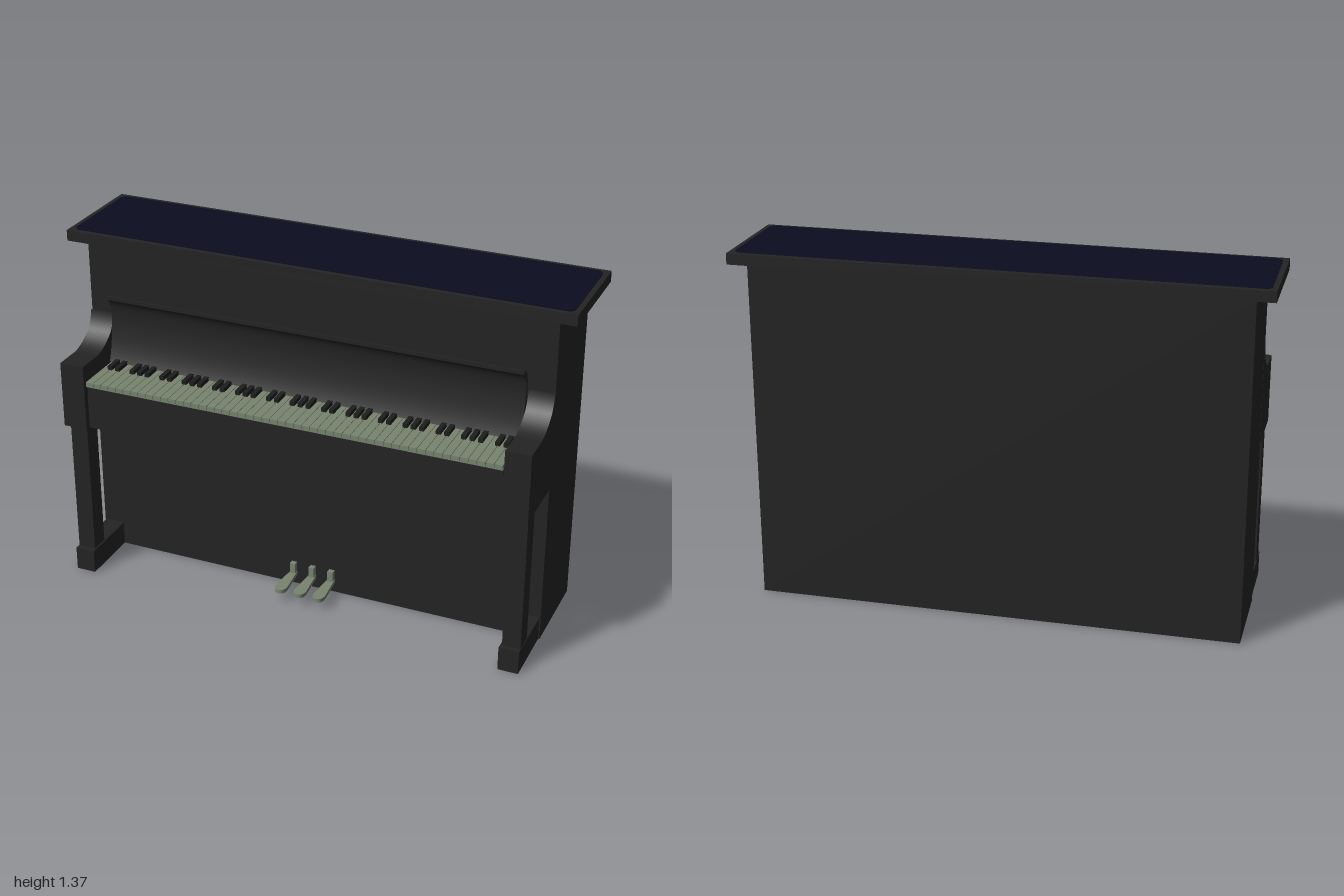
import * as THREE from 'three';

export function createModel() {
  const piano = new THREE.Group();
  piano.name = 'uprightPiano';

  const mat = (name, color) => {
    const m = new THREE.MeshStandardMaterial({ color });
    m.name = name;
    return m;
  };
  const ebony = mat('blackLacquer', 0x242424);
  const navy = mat('lidNavy', 0x0c0c20);
  const ivory = mat('paleGreyGreen', 0x78846f);
  const sharp = mat('sharpKeyBlack', 0x1c1e1c);

  const add = (name, geometry, material, parent = piano) => {
    const mesh = new THREE.Mesh(geometry, material);
    mesh.name = name;
    parent.add(mesh);
    return mesh;
  };
  // Box given by its lower and upper limits on each axis
  const box = (name, [x0, x1], [y0, y1], [z0, z1], material, parent) => {
    const m = add(name, new THREE.BoxGeometry(x1 - x0, y1 - y0, z1 - z0), material, parent);
    m.position.set((x0 + x1) / 2, (y0 + y1) / 2, (z0 + z1) / 2);
    return m;
  };
  // Side profile drawn as (z, y), swept from x0 to x1
  const sweep = (name, shape, x0, x1, material) => {
    const g = new THREE.ExtrudeGeometry(shape, { depth: x1 - x0, bevelEnabled: false, curveSegments: 14 });
    g.rotateY(-Math.PI / 2).translate(x1, 0, 0);
    return add(name, g, material);
  };

  // Case and lid
  box('case', [-0.93, 0.93], [0, 1.32], [-0.3, 0.068], ebony);
  box('lid', [-1, 1], [1.32, 1.362], [-0.325, 0.103], ebony);
  const r = 0.03, px = 0.98, z0 = -0.305, z1 = 0.083;
  const panel = new THREE.Shape();
  panel.moveTo(-px + r, -z1).lineTo(px - r, -z1).quadraticCurveTo(px, -z1, px, -z1 + r)
    .lineTo(px, -z0 - r).quadraticCurveTo(px, -z0, px - r, -z0)
    .lineTo(-px + r, -z0).quadraticCurveTo(-px, -z0, -px, -z0 - r)
    .lineTo(-px, -z1 + r).quadraticCurveTo(-px, -z1, -px + r, -z1);
  const panelGeo = new THREE.ExtrudeGeometry(panel, { depth: 0.003, bevelEnabled: false, curveSegments: 5 });
  add('lidPanel', panelGeo.rotateX(-Math.PI / 2).translate(0, 1.362, 0), navy);

  // Arms, legs and feet
  const arm = new THREE.Shape();
  arm.moveTo(0.05, 0.65).lineTo(0.325, 0.65).lineTo(0.325, 0.915).lineTo(0.21, 0.915)
    .quadraticCurveTo(0.15, 0.925, 0.103, 0.97)
    .quadraticCurveTo(0.082, 1.0, 0.076, 1.035)
    .lineTo(0.05, 1.035).closePath();
  for (const [side, s] of [['left', 1], ['right', -1]]) {
    const span = (a, b) => (s > 0 ? [a, b] : [-b, -a]);
    sweep(side + 'Arm', arm, ...span(0.834, 0.931), ebony);
    box(side + 'Leg', span(0.852, 0.923), [0.09, 0.65], [0.218, 0.293], ebony);
    box(side + 'Foot', span(0.846, 0.925), [0, 0.095], [0.05, 0.315], ebony);
  }

  // Key bed with a slightly proud rail
  box('keyBed', [-0.835, 0.835], [0.65, 0.785], [0.05, 0.302], ebony);
  box('keyRail', [-0.828, 0.828], [0.785, 0.83], [0.05, 0.308], ebony);

  // Curved fallboard with a forward lip
  const board = new THREE.Shape();
  board.moveTo(0.128, 0.856).quadraticCurveTo(0.104, 0.92, 0.096, 1.0)
    .bezierCurveTo(0.09, 1.07, 0.1, 1.105, 0.131, 1.116)
    .lineTo(0.131, 1.13)
    .bezierCurveTo(0.085, 1.13, 0.074, 1.07, 0.082, 1.0)
    .lineTo(0.068, 0.95).lineTo(0.068, 0.856).closePath();
  sweep('fallboard', board, -0.83, 0.83, ebony);

  // Keyboard: 52 naturals, sharps in groups of two and three
  const keyboard = new THREE.Group();
  keyboard.name = 'keyboard';
  piano.add(keyboard);
  const pitch = 1.656 / 52;
  box('keyBase', [-0.828, 0.828], [0.83, 0.836], [0.07, 0.316], ivory, keyboard);
  for (let i = 0; i < 52; i++) {
    const x = -0.828 + i * pitch;
    box('naturalKey', [x + 0.001, x + pitch - 0.001], [0.835, 0.852], [0.09, 0.32], ivory, keyboard);
    if (i < 51 && [0, 1, 3, 4, 5].includes(i % 7)) {
      box('sharpKey', [x + pitch - 0.009, x + pitch + 0.009], [0.85, 0.868], [0.09, 0.19], sharp, keyboard);
    }
  }

  // Pedals: an upright stub and a flared, rounded tread
  const tread = new THREE.Shape();
  tread.moveTo(-0.012, -0.06).lineTo(0.012, -0.06).lineTo(0.024, -0.19)
    .quadraticCurveTo(0.024, -0.225, 0, -0.225)
    .quadraticCurveTo(-0.024, -0.225, -0.024, -0.19).closePath();
  const treadGeo = new THREE.ExtrudeGeometry(tread, { depth: 0.016, bevelEnabled: false, curveSegments: 6 });
  treadGeo.rotateX(-Math.PI / 2);
  for (const x of [-0.08, 0, 0.08]) {
    const pedal = new THREE.Group();
    pedal.name = 'pedal';
    pedal.position.x = x;
    piano.add(pedal);
    add('pedalTread', treadGeo, ivory, pedal).position.y = 0.04;
    box('pedalStub', [-0.011, 0.011], [0.04, 0.098], [0.06, 0.09], ivory, pedal);
  }

  return piano;
}
